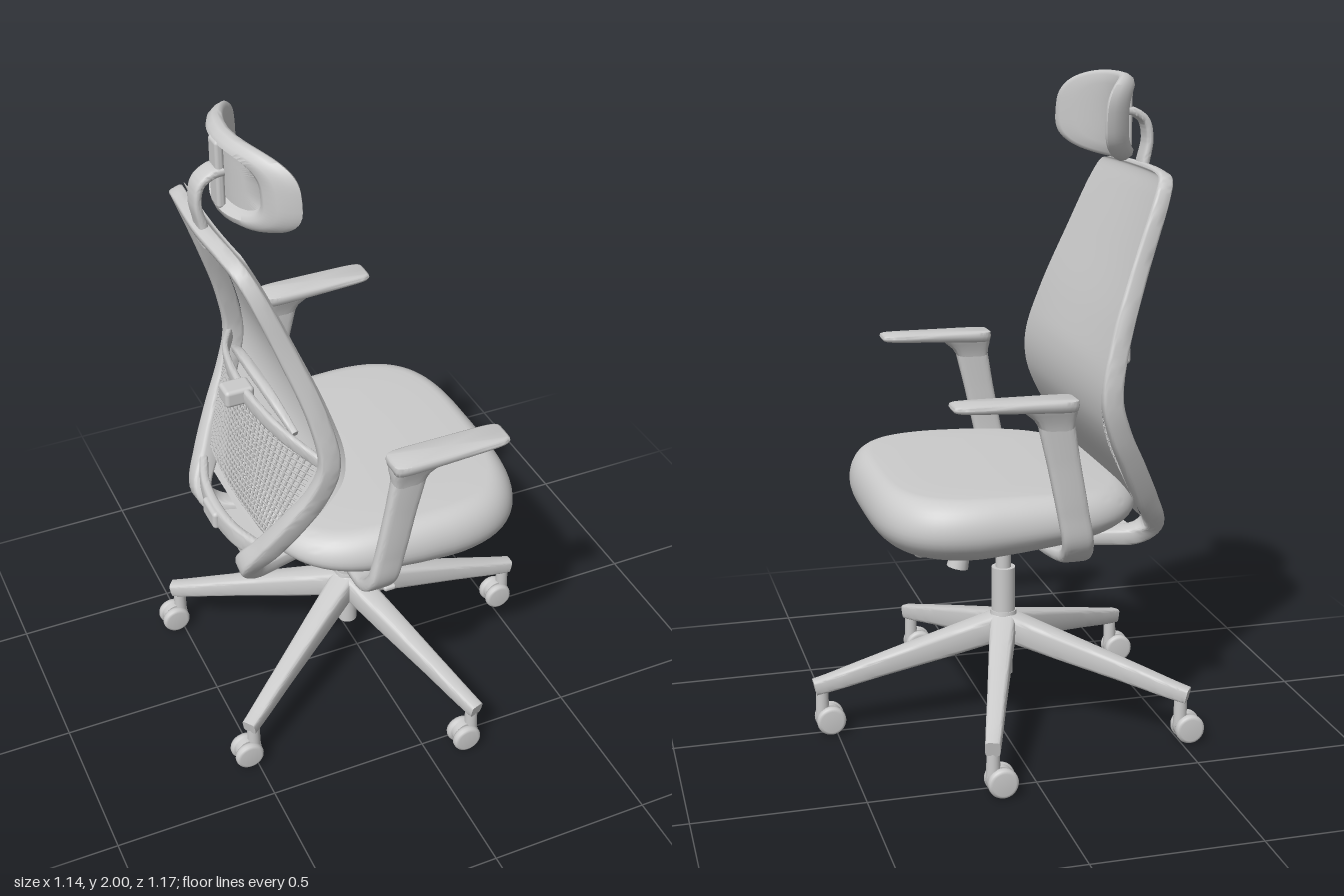
import * as THREE from 'three';
import { toCreasedNormals } from 'three/addons/utils/BufferGeometryUtils.js';
import { RoundedBoxGeometry } from 'three/addons/geometries/RoundedBoxGeometry.js';

const V = (x, y, z) => new THREE.Vector3(x, y, z);
const grey = new THREE.MeshStandardMaterial({ color: 0xcccccc });
const thin = new THREE.MeshStandardMaterial({ color: 0xcccccc, side: THREE.DoubleSide });

function add(parent, name, geo, x = 0, y = 0, z = 0, mat = grey) {
  const m = new THREE.Mesh(geo, mat);
  m.name = name;
  m.position.set(x, y, z);
  parent.add(m);
  return m;
}

// Ring of points from a superellipse; f maps (cos, sin) to a position
function squircle(n, e, f) {
  const g = (v) => Math.sign(v) * Math.pow(Math.abs(v), 2 / e);
  return Array.from({ length: n }, (_, j) => {
    const a = (j / n) * Math.PI * 2;
    return f(g(Math.cos(a)), g(Math.sin(a)));
  });
}

// Capped skin over a list of equal-length rings
function loft(rings, crease = 0.7) {
  const n = rings[0].length, pos = [], idx = [];
  rings.forEach((r) => r.forEach((p) => pos.push(p.x, p.y, p.z)));
  for (let i = 0; i < rings.length - 1; i++) {
    for (let j = 0; j < n; j++) {
      const k = (j + 1) % n, a = i * n + j, b = i * n + k;
      idx.push(a, b, b + n, a, b + n, a + n);
    }
  }
  [0, rings.length - 1].forEach((i) => {
    const c = rings[i].reduce((s, p) => s.add(p), V(0, 0, 0)).divideScalar(n);
    const ci = pos.length / 3;
    pos.push(c.x, c.y, c.z);
    for (let j = 0; j < n; j++) {
      const a = i * n + j, b = i * n + (j + 1) % n;
      if (i === 0) idx.push(ci, b, a); else idx.push(ci, a, b);
    }
  });
  const g = new THREE.BufferGeometry();
  g.setAttribute('position', new THREE.Float32BufferAttribute(pos, 3));
  g.setIndex(idx);
  return toCreasedNormals(g, crease);
}

// Sweep a rounded section; row = [x, y, z, half depth, half width, depth direction x, y, z]
function sweep(rows, steps = 40, e = 4) {
  const path = new THREE.CatmullRomCurve3(rows.map((r) => V(r[0], r[1], r[2])), false, 'centripetal');
  const lerpRow = (t, k) => {
    const s = t * (rows.length - 1), i = Math.min(Math.floor(s), rows.length - 2);
    return THREE.MathUtils.lerp(rows[i][k], rows[i + 1][k], s - i);
  };
  const rings = [];
  for (let i = 0; i <= steps; i++) {
    const t = i / steps, c = path.getPoint(t), T = path.getTangent(t);
    const D = V(lerpRow(t, 5), lerpRow(t, 6), lerpRow(t, 7));
    D.addScaledVector(T, -D.dot(T)).normalize();
    const S = T.clone().cross(D), w = lerpRow(t, 3), d = lerpRow(t, 4);
    rings.push(squircle(20, e, (p, q) => c.clone().addScaledVector(D, p * w).addScaledVector(S, q * d)));
  }
  return loft(rings);
}

// Extend half a path (ending on z = 0) with its mirror image
const mirrored = (rows) => rows.concat(rows.slice(0, -1).reverse().map((r) => r.map((v, k) => (k === 2 || k === 7 ? -v : v))));

function makeBase(root) {
  const base = new THREE.Group();
  base.name = 'base';
  base.position.x = -0.035;
  root.add(base);
  const cyl = (name, r1, r2, y0, y1) => add(base, name, new THREE.CylinderGeometry(r1, r2, y1 - y0, 32), 0, (y0 + y1) / 2, 0);
  cyl('columnFoot', 0.03, 0.03, 0.14, 0.26);
  cyl('hub', 0.04, 0.055, 0.25, 0.35);
  cyl('columnSleeve', 0.037, 0.037, 0.34, 0.49);
  cyl('gasLift', 0.024, 0.024, 0.48, 0.63);
  cyl('columnCollar', 0.035, 0.03, 0.59, 0.66);
  const legGeo = sweep([
    [0.0, 0.303, 0, 0.045, 0.042, 0, 1, 0], [0.2, 0.252, 0, 0.039, 0.035, 0, 1, 0],
    [0.4, 0.202, 0, 0.031, 0.028, 0, 1, 0], [0.55, 0.163, 0, 0.025, 0.024, 0, 1, 0],
    [0.6, 0.152, 0, 0.023, 0.022, 0, 1, 0]], 24, 5);
  // Wheel with rounded rims
  const wheelGeo = new THREE.LatheGeometry([[0, -0.015], [0.034, -0.015], [0.042, -0.011], [0.045, -0.004], [0.045, 0.004],
    [0.042, 0.011], [0.034, 0.015], [0, 0.015]].map((p) => new THREE.Vector2(...p)), 32).rotateX(Math.PI / 2);
  const hoodGeo = new THREE.CylinderGeometry(0.041, 0.041, 0.022, 24).rotateX(Math.PI / 2);
  for (let i = 0; i < 5; i++) {
    const a = (i * Math.PI * 2) / 5;
    add(base, 'leg', legGeo).rotation.y = a;
    // Every caster trails towards the back
    const caster = new THREE.Group();
    caster.name = 'caster';
    caster.position.set(0.577 * Math.cos(a), 0, -0.577 * Math.sin(a));
    base.add(caster);
    add(caster, 'casterStem', new THREE.CylinderGeometry(0.019, 0.021, 0.09, 20), 0, 0.1, 0);
    add(caster, 'casterHood', hoodGeo, -0.02, 0.05, 0);
    for (const s of [-1, 1]) add(caster, 'wheel', wheelGeo, -0.024, 0.045, s * 0.022);
  }
}

function makeSeat(root) {
  // Cushion: rounded outline, tapering underside, lower towards the back
  const levels = [[0.15, -1], [0.35, -1], [0.55, -1]];
  for (let i = 0; i <= 20; i++) {
    const p = (i / 20 - 0.5) * Math.PI, side = p < 0 ? 0.7 : 0.83;
    levels.push([side + (1 - side) * Math.cos(p), Math.sin(p)]);
  }
  levels.push([0.6, 1], [0.4, 1], [0.15, 1]);
  const rings = levels.map(([s, f]) => squircle(72, 3.5, (p, q) => {
    const x = 0.011 + 0.402 * s * q;
    const back = THREE.MathUtils.clamp((0.15 - x) / 0.53, 0, 1);
    const h = f > 0 ? 0.095 - 0.04 * back * back : 0.1 - 0.045 * back;
    return V(x, 0.742 + 0.012 * back * back + f * h, 0.459 * s * p * (1 - 0.1 * back * back));
  }));
  add(root, 'seatCushion', loft(rings, 1.2));
  add(root, 'seatPan', new RoundedBoxGeometry(0.5, 0.05, 0.5, 3, 0.02), 0.05, 0.648, 0);
  // Tilt mechanism, its knob and the height lever
  add(root, 'mechanism', new RoundedBoxGeometry(0.3, 0.06, 0.2, 3, 0.015), -0.09, 0.62, 0);
  add(root, 'tiltKnob', new THREE.CylinderGeometry(0.024, 0.034, 0.11, 16), 0.1, 0.555, 0).rotation.z = 0.22;
  const lever = new THREE.CatmullRomCurve3([V(-0.05, 0.62, 0.08), V(-0.05, 0.6, 0.13), V(-0.05, 0.562, 0.17), V(-0.05, 0.555, 0.3)]);
  add(root, 'lever', new THREE.TubeGeometry(lever, 24, 0.007, 8));
  add(root, 'leverPaddle', new RoundedBoxGeometry(0.04, 0.018, 0.07, 3, 0.008), -0.05, 0.553, 0.325);
}

function makeArms(root) {
  for (const s of [-1, 1]) {
    const arm = new THREE.Group();
    arm.name = s > 0 ? 'leftArm' : 'rightArm';
    root.add(arm);
    const post = [
      [-0.055, 1.075, 0.48, 0.052, 0.022], [-0.08, 0.95, 0.478, 0.047, 0.02],
      [-0.11, 0.8, 0.475, 0.045, 0.02], [-0.128, 0.71, 0.465, 0.045, 0.021], [-0.135, 0.66, 0.42, 0.045, 0.021],
      [-0.13, 0.637, 0.33, 0.045, 0.018], [-0.11, 0.625, 0.12, 0.045, 0.016],
    ].map((r) => [r[0], r[1], r[2] * s, r[3], r[4], 1, 0, 0]);
    add(arm, 'armPost', sweep(post, 48));
    // Flare widening under the pad; row = [centre x, y, half length, half width]
    const flare = [[-0.06, 1.05, 0.048, 0.021], [-0.052, 1.08, 0.058, 0.026], [-0.042, 1.1, 0.072, 0.035], [-0.03, 1.118, 0.082, 0.04]];
    add(arm, 'armFlare', loft(flare.map(([x, y, l, w]) => squircle(32, 4, (p, q) => V(x + q * l, y, s * 0.48 + p * w)))));
    // Pad: soft edge, thinning towards the front; row = [scale, height, share of underside slope]
    const pad = [[0.75, 0.002, 1], [0.93, 0.006, 1], [1, 0.018, 0.4], [0.97, 0.028, 0], [0.85, 0.031, 0]];
    add(arm, 'armPad', loft(pad.map(([k, y, u]) => squircle(48, 7, (p, q) =>
      V(0.065 + q * (0.18 - (1 - k) * 0.05), 1.111 + y + u * 0.008 * q, s * 0.48 + p * 0.05 * k))), 1));
  }
}

function makeBack(root) {
  // Fabric panel, flat at the belly and curved near the top; row = [height, front edge x, half width]
  const prof = new THREE.CatmullRomCurve3([
    [1.727, -0.425, 0.2], [1.712, -0.42, 0.265], [1.66, -0.397, 0.293], [1.5, -0.333, 0.328], [1.3, -0.257, 0.37],
    [1.15, -0.217, 0.398], [1.06, -0.217, 0.396], [0.98, -0.24, 0.375], [0.81, -0.33, 0.31], [0.7, -0.395, 0.25],
  ].map((r) => V(r[1], r[0], r[2])));
  const N = 60, M = 24, pos = [], idx = [];
  for (let i = 0; i <= N; i++) {
    const p = prof.getPoint(i / N), bow = 0.4 * THREE.MathUtils.clamp(p.y - 1.2, 0, 0.5);
    for (let j = 0; j <= M; j++) {
      const z = p.z * ((2 * j) / M - 1);
      pos.push(p.x - bow * (p.z * p.z - z * z), p.y, z);
      if (i < N && j < M) {
        const a = i * (M + 1) + j, b = a + M + 1;
        idx.push(a, b, a + 1, b, b + 1, a + 1);
      }
    }
  }
  const panel = new THREE.BufferGeometry();
  panel.setAttribute('position', new THREE.Float32BufferAttribute(pos, 3));
  panel.setIndex(idx);
  panel.computeVertexNormals();
  add(root, 'backPanel', panel, 0, 0, 0, thin);

  // Frame running from under the seat, up one side, over the top and down again
  add(root, 'backFrame', sweep(mirrored([
    [-0.15, 0.605, 0.1, 0.018, 0.035, 0, -1, 0], [-0.3, 0.61, 0.13, 0.024, 0.035, 0, -1, 0],
    [-0.41, 0.622, 0.165, 0.028, 0.035, -0.4, -1, 0], [-0.447, 0.668, 0.2, 0.03, 0.035, -1, 0, 0],
    [-0.4, 0.765, 0.262, 0.034, 0.032, -0.8, 0.6, 0], [-0.34, 0.88, 0.318, 0.034, 0.028, -0.8, 0.6, 0],
    [-0.285, 0.99, 0.36, 0.032, 0.022, -0.85, 0.5, 0], [-0.254, 1.1, 0.377, 0.031, 0.02, -1, 0, 0],
    [-0.278, 1.25, 0.36, 0.029, 0.02, -0.95, -0.25, 0], [-0.345, 1.45, 0.319, 0.027, 0.02, -0.95, -0.3, 0],
    [-0.424, 1.65, 0.275, 0.023, 0.02, -0.95, -0.33, 0], [-0.447, 1.698, 0.24, 0.022, 0.018, -0.95, -0.33, 0],
    [-0.457, 1.71, 0.16, 0.022, 0.016, -0.95, -0.3, 0], [-0.466, 1.713, 0, 0.022, 0.016, -0.95, -0.3, 0],
  ]), 160, 5));

  // Cross members: lower bar, lumbar band and lumbar pad edge
  add(root, 'lowerCrossBar', sweep(mirrored([
    [-0.42, 0.74, 0.24, 0.014, 0.03, -1, 0, 0], [-0.455, 0.73, 0.13, 0.014, 0.035, -1, 0, 0], [-0.468, 0.728, 0, 0.016, 0.035, -1, 0, 0]])));
  add(root, 'lumbarBand', sweep(mirrored([
    [-0.27, 1.1, 0.365, 0.01, 0.02, -1, 0, 0], [-0.335, 1.13, 0.22, 0.01, 0.024, -1, 0, 0], [-0.365, 1.143, 0, 0.012, 0.026, -1, 0, 0]])));
  add(root, 'lumbarPadEdge', sweep(mirrored([
    [-0.3, 1.13, 0.24, 0.01, 0.01, -1, 0, 0], [-0.318, 1.175, 0.14, 0.014, 0.014, -1, 0, 0], [-0.325, 1.193, 0, 0.016, 0.014, -1, 0, 0]])));
  add(root, 'lumbarKnob', new RoundedBoxGeometry(0.09, 0.055, 0.07, 3, 0.012), -0.385, 1.145, 0);
  add(root, 'crossBarBlock', new RoundedBoxGeometry(0.04, 0.06, 0.1, 3, 0.012), -0.475, 0.727, 0);

  // Open lumbar mesh of thin strands
  const mesh = new THREE.Group();
  mesh.name = 'lumbarMesh';
  root.add(mesh);
  const at = (u, v) => V(THREE.MathUtils.lerp(-0.41 + 0.045 * v, -0.39 + 0.12 * v, u * u), 0.79 + 0.32 * v, u * (0.265 + 0.095 * v));
  const strand = (f) => {
    const pts = [];
    for (let i = 0; i <= 10; i++) pts.push(f(i / 10));
    add(mesh, 'strand', new THREE.TubeGeometry(new THREE.CatmullRomCurve3(pts), 12, 0.0035, 5));
  };
  for (let i = 1; i < 32; i++) strand((t) => at(i / 16 - 1, t));
  for (let i = 0; i < 16; i++) strand((t) => at(t * 2 - 1, i / 16));

  // Ribbed plate joining the frame's feet
  for (let i = 0; i < 6; i++) add(root, 'footRib', new THREE.BoxGeometry(0.014, 0.026, 0.26), -0.41 + i * 0.045, 0.602, 0);
  add(root, 'footPlate', new THREE.BoxGeometry(0.27, 0.01, 0.24), -0.28, 0.615, 0);
}

function makeHeadrest(root) {
  // Curved pad with a raised rim behind; level = [outline scale, depth]
  const levels = [[0.02, -0.004], [0.2, -0.004], [0.4, -0.004], [0.62, -0.004], [0.68, -0.022], [0.76, -0.034], [0.88, -0.03],
    [0.97, -0.014], [1, 0.002], [0.97, 0.012], [0.9, 0.017], [0.7, 0.019], [0.5, 0.02], [0.3, 0.02], [0.15, 0.02], [0.02, 0.02]];
  add(root, 'headrestPad', loft(levels.map(([s, d]) => squircle(64, 3.1, (p, q) => {
    const z = q * 0.252 * Math.min(s, 0.25 + 0.75 * s) * (1 - 0.03 * p);
    return V(-0.385 + d + 1.8 * z * z, 1.872 + 0.128 * s * p, z);
  })), 1));
  add(root, 'headrestStem', sweep([
    [-0.455, 1.67, 0, 0.016, 0.04, -1, 0, 0], [-0.465, 1.73, 0, 0.014, 0.036, -1, 0, 0], [-0.478, 1.8, 0, 0.012, 0.034, -1, 0, 0],
    [-0.466, 1.855, 0, 0.012, 0.034, -1, 0.5, 0], [-0.43, 1.88, 0, 0.014, 0.034, -0.5, 1, 0], [-0.4, 1.885, 0, 0.014, 0.034, -0.3, 1, 0]]));
  add(root, 'headrestBracket', new RoundedBoxGeometry(0.025, 0.2, 0.06, 3, 0.01), -0.41, 1.875, 0);
}

export function createModel() {
  const root = new THREE.Group();
  root.name = 'officeChair';
  [makeBase, makeSeat, makeArms, makeBack, makeHeadrest].forEach((make) => make(root));
  return root;
}
